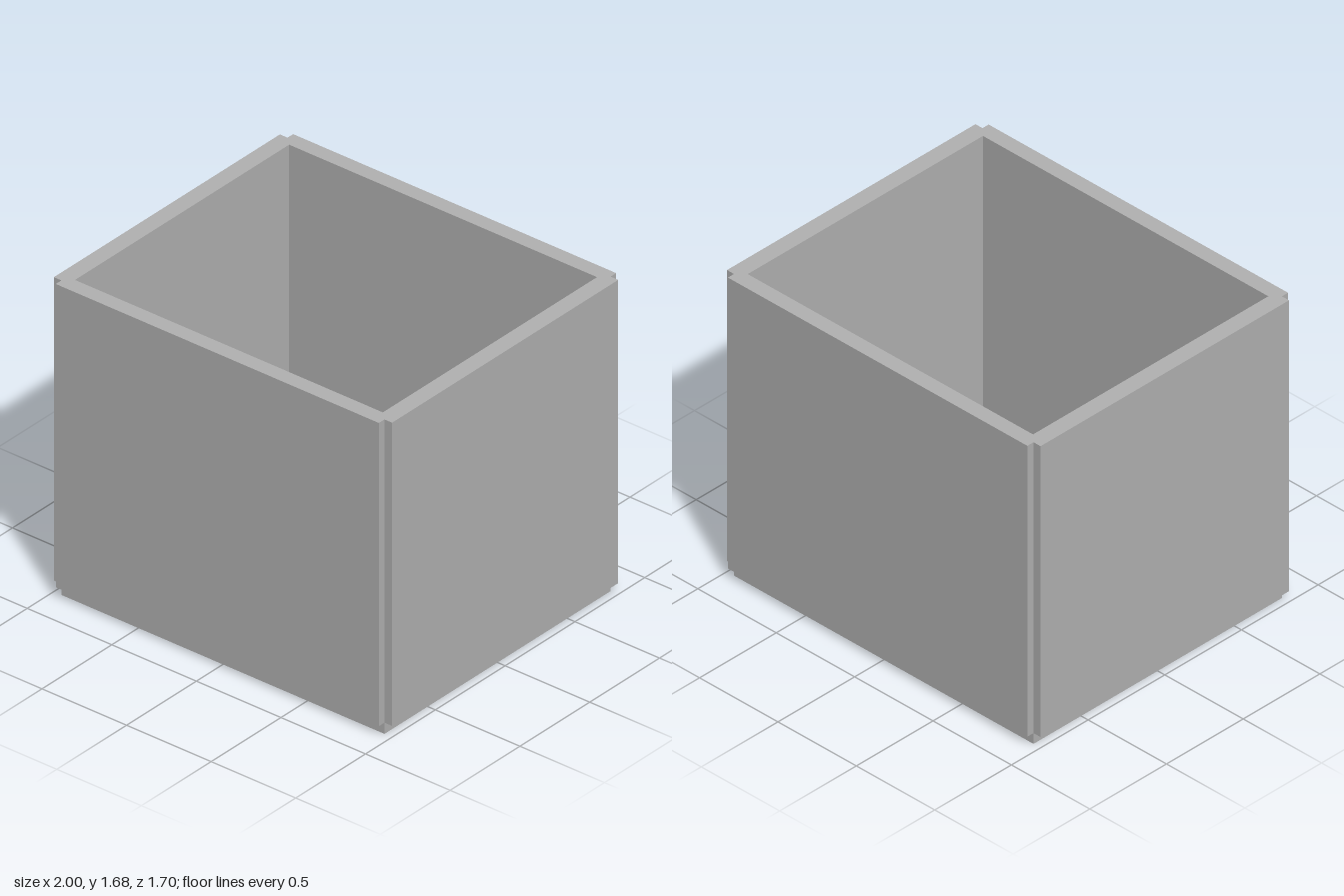
import * as THREE from 'three';

const HEIGHT = 1.68, BASE = 0.06, FLOOR = 0.1;
const OUT = { x: 1, z: 0.85 };        // outer panel faces
const CORE = { x: 0.955, z: 0.81 };   // recessed corners and base
const IN = { x: 0.91, z: 0.767 };     // cavity

export function createModel() {
  const group = new THREE.Group();
  group.name = 'openBox';
  const grey = new THREE.MeshStandardMaterial({ color: 0xb2b2b2 });
  grey.name = 'grey';

  const add = (name, geometry, y) => {
    const mesh = new THREE.Mesh(geometry, grey);
    mesh.name = name;
    mesh.position.y = y;
    group.add(mesh);
  };

  // Walls: a rectangle with stepped corners and a rectangular cavity
  const outline = new THREE.Shape([
    [OUT.x, -CORE.z], [OUT.x, CORE.z], [CORE.x, CORE.z], [CORE.x, OUT.z],
    [-CORE.x, OUT.z], [-CORE.x, CORE.z], [-OUT.x, CORE.z], [-OUT.x, -CORE.z],
    [-CORE.x, -CORE.z], [-CORE.x, -OUT.z], [CORE.x, -OUT.z], [CORE.x, -CORE.z],
  ].map(([x, z]) => new THREE.Vector2(x, z)));
  outline.holes.push(new THREE.Path([
    [-IN.x, -IN.z], [-IN.x, IN.z], [IN.x, IN.z], [IN.x, -IN.z],
  ].map(([x, z]) => new THREE.Vector2(x, z))));
  const walls = new THREE.ExtrudeGeometry(outline, { depth: HEIGHT - BASE, bevelEnabled: false });
  walls.rotateX(-Math.PI / 2);
  add('walls', walls, BASE);

  // Recessed base below the walls
  add('base', new THREE.BoxGeometry(CORE.x * 2, BASE, CORE.z * 2), BASE / 2);

  // Floor inside the cavity
  add('floor', new THREE.BoxGeometry(IN.x * 2, FLOOR - BASE, IN.z * 2), (FLOOR + BASE) / 2);

  return group;
}
